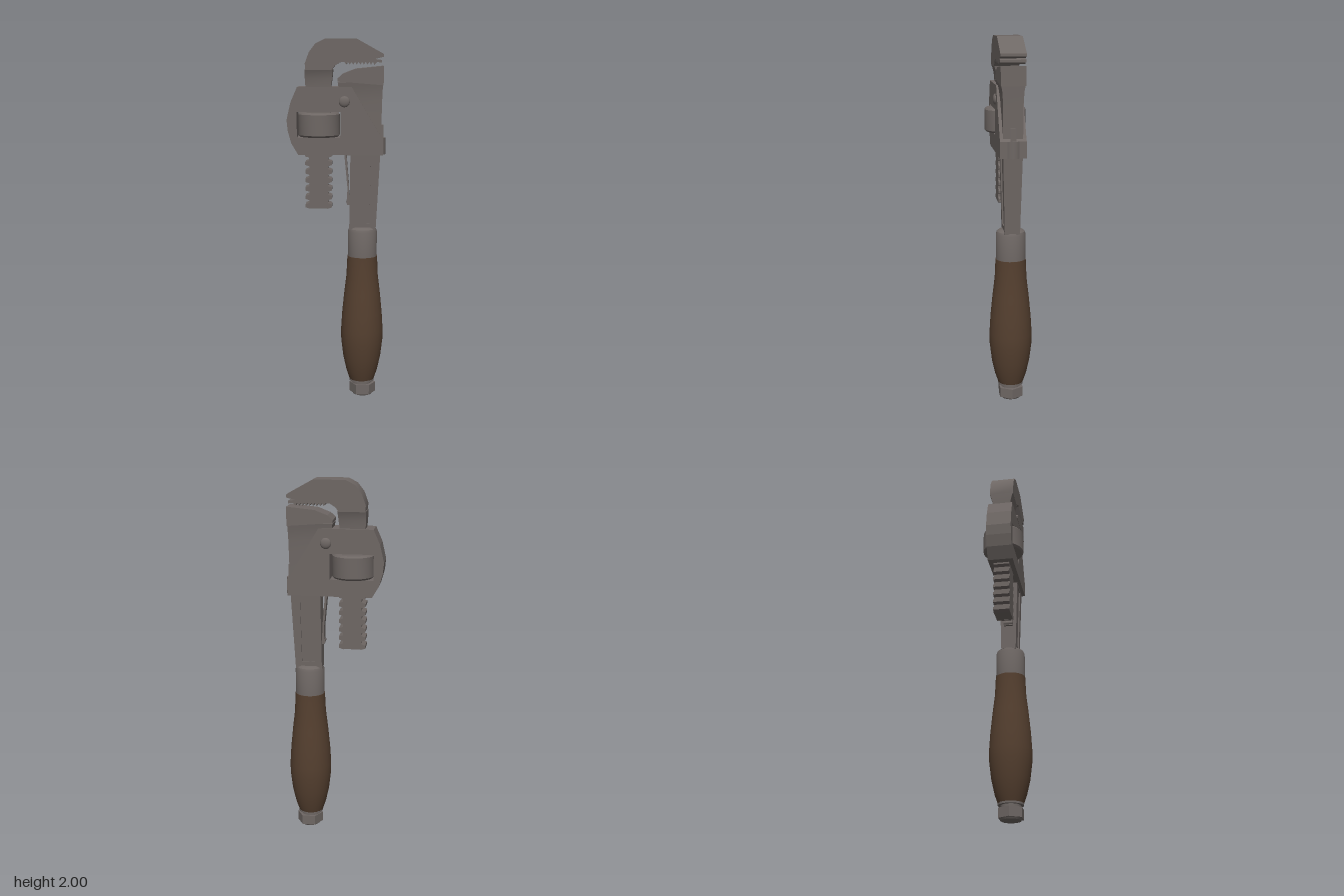
import * as THREE from 'three';
import { toCreasedNormals } from 'three/addons/utils/BufferGeometryUtils.js';

const steel = new THREE.MeshStandardMaterial({ color: 0x6e6764 });
steel.name = 'steel';
const wood = new THREE.MeshStandardMaterial({ color: 0x543f2f });
wood.name = 'wood';

const HANDLE_X = 0.14;
const KNURL_X = -0.1;

function rect(x0, y0, x1, y1) {
  return [[x0, y0], [x1, y0], [x1, y1], [x0, y1]];
}

// Flat outline extruded symmetrically about z = 0
function plate(points, halfZ, holes = []) {
  const toVec = ([x, y]) => new THREE.Vector2(x, y);
  const shape = new THREE.Shape(points.map(toVec));
  holes.forEach((h) => shape.holes.push(new THREE.Path(h.map(toVec))));
  const geo = new THREE.ExtrudeGeometry(shape, { depth: halfZ * 2, bevelEnabled: false });
  return geo.translate(0, 0, -halfZ);
}

// Stack of rectangular sections, rows from bottom to top: [y, x0, x1, halfZ]
function loft(rows) {
  const pos = [];
  const idx = [];
  for (const [y, x0, x1, h] of rows) pos.push(x0, y, h, x1, y, h, x1, y, -h, x0, y, -h);
  for (let r = 0; r < rows.length - 1; r++) {
    for (let k = 0; k < 4; k++) {
      const a = r * 4 + k;
      const b = r * 4 + ((k + 1) % 4);
      idx.push(a, b, b + 4, a, b + 4, a + 4);
    }
  }
  const t = (rows.length - 1) * 4;
  idx.push(0, 2, 1, 0, 3, 2, t, t + 1, t + 2, t, t + 2, t + 3);
  const geo = new THREE.BufferGeometry();
  geo.setAttribute('position', new THREE.Float32BufferAttribute(pos, 3));
  geo.setIndex(idx);
  return toCreasedNormals(geo, 0.6);
}

function lathe(profile, x) {
  const pts = profile.map(([r, y]) => new THREE.Vector2(r, y));
  return toCreasedNormals(new THREE.LatheGeometry(pts, 28), 0.6).translate(x, 0, 0);
}

export function createModel() {
  const group = new THREE.Group();
  group.name = 'pipeWrench';
  const add = (name, geo, mat = steel) => {
    const mesh = new THREE.Mesh(geo, mat);
    mesh.name = name;
    group.add(mesh);
    return mesh;
  };

  // Wooden grip, metal collar and end nut
  add('grip', lathe([
    [0, 0.09], [0.07, 0.09], [0.087, 0.14], [0.105, 0.22], [0.117, 0.32], [0.118, 0.38],
    [0.112, 0.48], [0.1, 0.6], [0.088, 0.7], [0.083, 0.81], [0, 0.81],
  ], HANDLE_X), wood);
  add('collar', lathe([
    [0.081, 0.8], [0.081, 0.95], [0.075, 0.965], [0.06, 0.975], [0, 0.975],
  ], HANDLE_X));
  add('washer', new THREE.CylinderGeometry(0.07, 0.07, 0.015, 24).translate(HANDLE_X, 0.087, 0));
  add('nutNeck', new THREE.CylinderGeometry(0.055, 0.055, 0.03, 16).translate(HANDLE_X, 0.075, 0));
  const nut = toCreasedNormals(new THREE.CylinderGeometry(0.073, 0.073, 0.055, 6), 0.5);
  add('endNut', nut.rotateY(Math.PI / 2).translate(0.145, 0.0375, 0));
  add('nutFace', new THREE.CylinderGeometry(0.062, 0.055, 0.012, 24).translate(0.145, 0.006, 0));

  // Tapered shaft: thinner core inside a raised frame
  add('shaftCore', loft([[0.96, 0.075, 0.205, 0.033], [1.4, 0.08, 0.23, 0.044]]));
  const frame = plate(
    [[0.067, 0.96], [0.213, 0.96], [0.236, 1.4], [0.073, 1.4]], 1,
    [[[0.104, 1.0], [0.104, 1.37], [0.185, 1.37], [0.178, 1.0]]],
  );
  const fp = frame.attributes.position;
  for (let i = 0; i < fp.count; i++) {
    const half = THREE.MathUtils.mapLinear(fp.getY(i), 0.96, 1.4, 0.041, 0.052);
    fp.setZ(i, fp.getZ(i) * half);
  }
  frame.computeVertexNormals();
  add('shaftFrame', frame);

  // Housing with a window for the adjusting nut
  add('housing', plate(
    [[-0.21, 1.38], [0.25, 1.38], [0.25, 1.47], [0.235, 1.485], [0.08, 1.745], [-0.215, 1.745],
      [-0.25, 1.665], [-0.272, 1.57], [-0.266, 1.51], [-0.248, 1.445]], 0.07,
    [rect(-0.217, 1.473, 0.018, 1.612)],
  ));
  const ring = new THREE.CylinderGeometry(0.124, 0.124, 0.09, 28);
  add('housingRing', ring.scale(1, 1, 0.565).translate(HANDLE_X, 1.425, 0));

  // Rivets on both faces
  for (const side of [1, -1]) {
    const rivet = new THREE.SphereGeometry(0.03, 16, 10).scale(1, 1, 0.45);
    add('rivet', rivet.translate(0.04, 1.668, side * 0.07));
  }

  // Adjusting nut with chamfered rims
  add('adjustingNut', lathe([
    [0, 1.476], [0.105, 1.476], [0.114, 1.486], [0.114, 1.598], [0.105, 1.608], [0, 1.608],
  ], KNURL_X));

  // Fixed jaw: narrow body flaring into the jaw block
  add('fixedJawBody', loft([
    [1.4, 0.08, 0.236, 0.052], [1.6, 0.06, 0.241, 0.053], [1.68, 0.04, 0.243, 0.054],
    [1.73, 0.01, 0.245, 0.058], [1.77, 0.004, 0.247, 0.065],
  ]));
  add('fixedJawBlock', plate(
    [[0.002, 1.775], [0.25, 1.755], [0.25, 1.857], [0.1, 1.842], [0.03, 1.815], [0.002, 1.79]], 0.066,
  ));
  add('fixedJawStop', new THREE.BoxGeometry(0.02, 0.1, 0.03).translate(0.242, 1.49, 0));

  // Hook jaw with a row of teeth along its underside
  const teeth = [];
  const count = 9;
  for (let i = 0; i < count; i++) {
    const x = 0.04 + (i / count) * 0.17;
    teeth.push([x, 1.878], [x + 0.009, 1.864]);
  }
  add('hookJaw', toCreasedNormals(plate([
    [-0.17, 1.835], [-0.03, 1.835], [-0.012, 1.858], [0.02, 1.878], ...teeth,
    [0.215, 1.878], [0.24, 1.874], [0.24, 1.888], [0.2, 1.893], [0.25, 1.905], [0.25, 1.92],
    [0.105, 2.0], [-0.065, 2.0], [-0.115, 1.975], [-0.15, 1.93], [-0.172, 1.87],
  ], 0.068), 0.5));
  add('hookNeck', loft([
    [1.6, -0.165, -0.035, 0.045], [1.745, -0.17, -0.033, 0.05], [1.79, -0.173, -0.027, 0.054],
    [1.82, -0.174, -0.024, 0.061], [1.838, -0.174, -0.022, 0.068],
  ]));

  // Threaded shank: smooth core with ridges on both edges
  add('shank', plate(rect(-0.152, 1.082, -0.05, 1.62), 0.045));
  const pitch = 0.047;
  for (let i = 0; i < 7; i++) {
    const y = 1.088 + i * pitch;
    for (const side of [1, -1]) {
      const ridge = plate([[0.048, -0.008], [0.073, 0], [0.073, 0.016], [0.048, 0.026]]
        .map(([x, dy]) => [x, dy]), 0.045);
      if (side < 0) ridge.rotateY(Math.PI);
      add('shankRidge', ridge.translate(-0.101, y, 0));
    }
  }

  // Leaf spring between shank and shaft
  add('spring', plate([
    [0.055, 1.1], [0.068, 1.1], [0.068, 1.13], [0.064, 1.22], [0.05, 1.39], [0.038, 1.39], [0.056, 1.2],
  ], 0.025));
  const springPin = new THREE.CylinderGeometry(0.014, 0.014, 0.05, 12).rotateX(Math.PI / 2);
  add('springPin', springPin.translate(0.064, 1.115, 0));

  return group;
}
